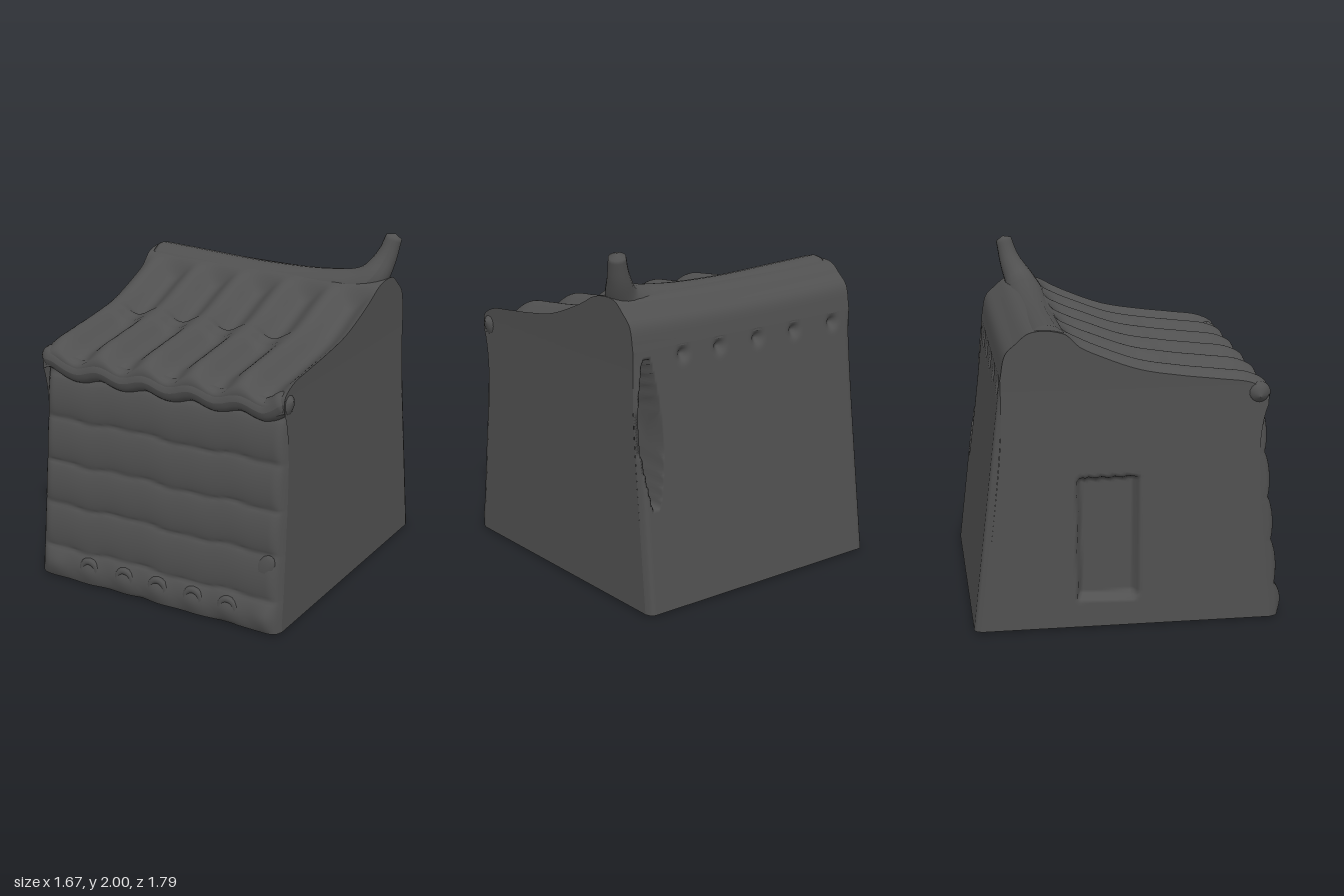
import * as THREE from 'three';

const stone = new THREE.MeshStandardMaterial({ color: 0x505050, side: THREE.DoubleSide });
stone.name = 'dark grey clay';

const { lerp, clamp, smoothstep: step } = THREE.MathUtils;
// 1 inside [a, b], falling to 0 over the width s on both sides
const band = (t, a, b, s) => step(t, a - s, a) * (1 - step(t, b, b + s));

// Grid surface; fn(u, v) gives a point, outward side is du x dv
function patch(name, nu, nv, fn) {
  const pos = [], index = [];
  for (let j = 0; j <= nv; j++)
    for (let i = 0; i <= nu; i++) pos.push(...fn(i / nu, j / nv));
  for (let j = 0; j < nv; j++)
    for (let i = 0; i < nu; i++) {
      const a = j * (nu + 1) + i, c = a + nu + 1;
      index.push(a, a + 1, c + 1, a, c + 1, c);
    }
  const g = new THREE.BufferGeometry();
  g.setAttribute('position', new THREE.Float32BufferAttribute(pos, 3));
  g.setIndex(index);
  g.computeVertexNormals();
  return named(name, g);
}

function named(name, geometry) {
  const m = new THREE.Mesh(geometry, stone);
  m.name = name;
  return m;
}

// Tube whose radius follows radius(t)
function taperedTube(name, curve, segs, radius) {
  const sides = 16;
  const g = new THREE.TubeGeometry(curve, segs, 1, sides);
  const p = g.attributes.position, v = new THREE.Vector3();
  for (let k = 0; k < p.count; k++) {
    const t = Math.floor(k / (sides + 1)) / segs;
    const c = curve.getPointAt(t);
    v.fromBufferAttribute(p, k).sub(c).multiplyScalar(radius(t)).add(c);
    p.setXYZ(k, v.x, v.y, v.z);
  }
  g.computeVertexNormals();
  return named(name, g);
}

// Roof section from the eave over the ridge to the back, as (z, y)
const section = new THREE.CatmullRomCurve3([
  [0.785, 1.31], [0.78, 1.4], [0.69, 1.455], [0.5, 1.485], [0.3, 1.51], [0.05, 1.555],
  [-0.2, 1.65], [-0.36, 1.725], [-0.46, 1.745], [-0.56, 1.735], [-0.63, 1.68], [-0.69, 1.62], [-0.72, 1.48],
].map(([z, y]) => new THREE.Vector3(0, y, z)));

const tile = (x) => Math.cos((2 * Math.PI * (x + 0.415)) / 0.31);

// Roof point with rolls of tile running down the front slope
function roofPoint(x, t) {
  const p = section.getPointAt(t);
  let depth = 0.085 * (0.5 - 0.5 * tile(x)) * band(p.z, -0.27, 0.74, 0.1);
  if (x > -0.7 && x < 0.5) depth *= 1 - 0.3 * band(p.z, 0.13, 0.23, 0.03);
  const sag = 0.015 * (1 - (x / 0.8) ** 2) * step(-p.z, 0.1, 0.4);
  return [x, p.y - depth - sag, p.z];
}

const half = (y) => 0.82 - 0.02 * Math.min(1, y / 1.4);

// Setback that rounds the upright corners
function corner(x, y) {
  const r = 0.045, d = clamp((Math.abs(x) - half(y) + r) / r, 0, 1);
  return r * (1 - Math.sqrt(1 - d * d));
}

const logs = [-0.45, -0.2, 0.03, 0.27, 0.5];
const seams = [0.0, 0.2, 0.47, 0.73, 1.0, 1.26];

// Front wall: bulging courses, lumps along the foot
function frontZ(x, y) {
  const yy = y + 0.008 * Math.sin(9 * x) + 0.005 * Math.sin(23 * x);
  let bulge = 0;
  for (let i = 0; i < 5; i++)
    if (yy >= seams[i] && yy < seams[i + 1])
      bulge = Math.sqrt(Math.sin((Math.PI * (yy - seams[i])) / (seams[i + 1] - seams[i])));
  let lumps = 0;
  for (const lx of [-0.69, ...logs, 0.73])
    lumps += 0.018 * Math.exp(-((x - lx) ** 2 + (y - 0.1) ** 2) / 0.006);
  return lerp(0.865, 0.745, y / 1.3) + 0.028 * bulge * band(x, -0.74, 0.74, 0.08) + lumps - corner(x, y);
}

const backZ = (x, y) => lerp(-0.893, -0.72, y / 1.48) + corner(x, y) * (1 - (y / 1.48) ** 6);

export function createModel() {
  const hut = new THREE.Group();
  hut.name = 'hut';

  hut.add(patch('roof', 120, 90, (u, v) => roofPoint(lerp(-0.8, 0.8, u), v)));

  hut.add(patch('frontWall', 120, 100, (u, v) => {
    const y = 0.01 + 1.33 * v, x = lerp(-1, 1, u) * half(y);
    return [x, y, frontZ(x, y)];
  }));

  // Back wall with a split near one corner and pits under the roof edge
  hut.add(patch('backWall', 150, 90, (u, v) => {
    const y = lerp(0.01, 1.48, v), x = lerp(1, -1, u) * half(y);
    const w = 0.06 * Math.sin(Math.PI * clamp((y - 0.55) / 0.93, 0, 1));
    const split = w > 0.01 ? 0.2 * band(x, 0.72 - w, 0.72 + w, 0.012) : 0;
    let pits = 0;
    for (const px of [-0.66, -0.36, -0.08, 0.2, 0.46])
      pits += 0.04 * Math.exp(-((x - px) ** 2 + (y - 1.42) ** 2) / 0.001);
    return [x, y, backZ(x, y) + split + pits];
  }));

  // Side walls, the one at -x with a sunken doorway
  for (const s of [1, -1])
    hut.add(patch(s > 0 ? 'leftWall' : 'rightWall', 90, 80, (u, v) => {
      const t = s > 0 ? u : 1 - u;
      const top = roofPoint(s * 0.8, t);
      const y = lerp(0.01, top[1], v), x = s * half(y);
      const z = lerp(lerp(frontZ(x, y), backZ(x, Math.min(y, 1.48)), t), top[2], v ** 6);
      const door = s < 0 ? 0.06 * band(z, -0.28, 0.03, 0.02) * band(y, 0.19, 0.88, 0.02) : 0;
      return [x - s * door, y, z];
    }));

  // Underside with shallow ribs
  hut.add(patch('floor', 60, 60, (u, v) => {
    const x = lerp(-0.82, 0.82, u);
    const inside = band(u, 0.08, 0.92, 0.08) * band(v, 0.08, 0.92, 0.08);
    const z = lerp(backZ(x, 0.01), frontZ(x, 0.01), v);
    return [x, 0.01 + 0.022 * inside * Math.sin(6 * Math.PI * v) ** 2 - 0.01 * band(u, 0.04, 0.96, 0.04) * band(v, 0.04, 0.96, 0.04), z];
  }));

  // Lumpy roll along the eave
  const eave = [];
  for (let i = 0; i <= 32; i++) {
    const x = lerp(-0.835, 0.825, i / 32);
    const rise = 0.04 * step(Math.abs(x), 0.66, 0.82);
    eave.push(new THREE.Vector3(x, 1.31 + 0.018 * tile(x) + rise, 0.73));
  }
  hut.add(taperedTube('eaveRoll', new THREE.CatmullRomCurve3(eave), 96,
    (t) => 0.068 * Math.min(1, Math.sqrt(Math.min(t, 1 - t) / 0.03))));

  // Broad ridge roll sweeping up into a stout horn at one end
  const ridge = new THREE.CatmullRomCurve3([
    [-0.795, 1.645, -0.455], [-0.5, 1.635, -0.455], [0, 1.62, -0.455], [0.4, 1.635, -0.455],
    [0.58, 1.665, -0.46], [0.69, 1.73, -0.48], [0.755, 1.85, -0.535], [0.795, 2.0, -0.575],
  ].map((p) => new THREE.Vector3(...p)));
  hut.add(taperedTube('ridgeHorn', ridge, 90, (t) =>
    lerp(0.125, 0.05, step(t, 0.7, 1)) * Math.min(1, Math.sqrt(t / 0.012), Math.sqrt((1 - t) / 0.012))));

  // Log ends along the foot of the front
  for (const x of logs) {
    const log = new THREE.Group();
    log.name = 'logEnd';
    const ring = named('logRim', new THREE.TorusGeometry(0.05, 0.022, 8, 16));
    const core = named('logCore', new THREE.CylinderGeometry(0.05, 0.05, 0.06, 14));
    core.rotation.x = Math.PI / 2;
    core.position.z = -0.03;
    log.add(ring, core);
    log.position.set(x, 0.11, 0.874);
    hut.add(log);
  }

  // Chipped knot near the front corner
  const knot = named('cornerKnot', new THREE.SphereGeometry(0.07, 10, 8));
  knot.scale.set(0.8, 1.5, 0.35);
  knot.rotation.z = -0.5;
  knot.position.set(0.71, 0.38, 0.835);
  hut.add(knot);

  return hut;
}
